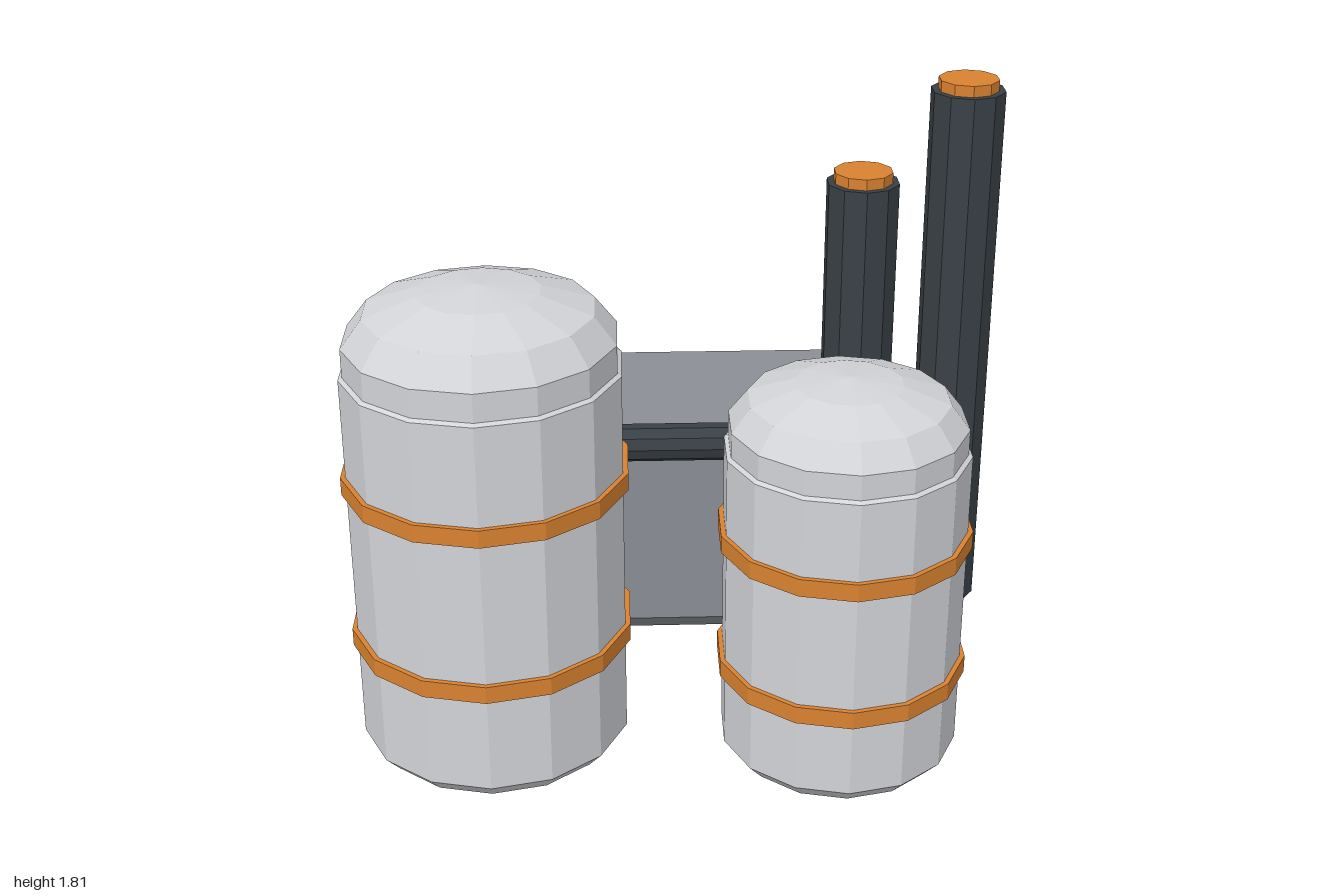
import * as THREE from 'three';
import { ConvexGeometry } from 'three/addons/geometries/ConvexGeometry.js';

const paint = (name, color) => {
  const m = new THREE.MeshStandardMaterial({ color });
  m.name = name;
  return m;
};

// Gives every facet its own normal
function faceted(geometry) {
  const g = geometry.index ? geometry.toNonIndexed() : geometry;
  g.computeVertexNormals();
  return g;
}

function part(parent, name, geometry, material, x = 0, y = 0, z = 0) {
  const mesh = new THREE.Mesh(faceted(geometry), material);
  mesh.name = name;
  mesh.position.set(x, y, z);
  parent.add(mesh);
  return mesh;
}

// Box with every edge cut by c, leaving triangular corners
function chamferBox(w, h, d, c) {
  const points = [];
  for (const sx of [-1, 1]) for (const sy of [-1, 1]) for (const sz of [-1, 1]) {
    for (let axis = 0; axis < 3; axis++) {
      const half = [w, h, d].map((s, i) => s / 2 - (i === axis ? 0 : c));
      points.push(new THREE.Vector3(sx * half[0], sy * half[1], sz * half[2]));
    }
  }
  return new ConvexGeometry(points);
}

export function createModel() {
  const model = new THREE.Group();
  model.name = 'processPlant';
  const steel = paint('paleSteel', 0xd2d4d8);
  const casing = paint('greyCasing', 0x8b8f96);
  const iron = paint('darkIron', 0x394046);
  const orange = paint('orangeTrim', 0xd98230);

  // Domed storage tanks with two hoops each
  const tanks = [
    { name: 'largeTank', x: -0.593, z: 0.385, r: 0.406, wall: 1.22, collar: 1.305, top: 1.46, hoops: [0.38, 0.882] },
    { name: 'smallTank', x: 0.441, z: 0.495, r: 0.356, wall: 1.0, collar: 1.075, top: 1.21, hoops: [0.31, 0.727] },
  ];
  for (const t of tanks) {
    const tank = new THREE.Group();
    tank.name = t.name;
    tank.position.set(t.x, 0, t.z);
    model.add(tank);
    const neck = t.r - 0.012;
    const rise = t.top - t.collar;
    const profile = [
      [0, 0], [t.r - 0.045, 0], [t.r, 0.05], [t.r, t.wall - 0.008], [neck, t.wall], [neck, t.collar],
      [neck * 0.84, t.collar + rise * 0.53], [neck * 0.45, t.collar + rise * 0.87], [0, t.top],
    ].map(([r, y]) => new THREE.Vector2(r, y));
    part(tank, t.name + 'Shell', new THREE.LatheGeometry(profile, 14), steel);
    t.hoops.forEach((y, i) =>
      part(tank, t.name + 'Hoop' + (i + 1), new THREE.CylinderGeometry(t.r + 0.015, t.r + 0.015, 0.054, 14), orange, 0, y, 0));
  }

  // Machine housing with a rear access panel
  part(model, 'housing', chamferBox(1.112, 0.74, 0.742, 0.075), casing, 0.035, 0.37, -0.469);
  part(model, 'rearPanel', chamferBox(0.59, 0.255, 0.05, 0.012), orange, 0.035, 0.333, -0.84);

  // Exhaust stacks with caps
  [[0.572, 1.48], [0.888, 1.775]].forEach(([x, h], i) => {
    part(model, 'stack' + (i + 1), new THREE.CylinderGeometry(0.117, 0.117, h, 10), iron, x, h / 2, -0.396);
    part(model, 'stackCap' + (i + 1), new THREE.CylinderGeometry(0.095, 0.095, 0.07, 10), orange, x, h, -0.396);
  });

  // Pipes: one across to the small tank, one back beside the housing
  const cross = part(model, 'crossPipe', new THREE.CylinderGeometry(0.058, 0.058, 1.034, 10), iron, -0.076, 0.812, 0.084);
  cross.rotation.z = Math.PI / 2;
  const back = part(model, 'backPipe', new THREE.CylinderGeometry(0.058, 0.058, 0.815, 10), iron, -0.593, 0.665, -0.0225);
  back.rotation.x = Math.PI / 2;

  return model;
}
